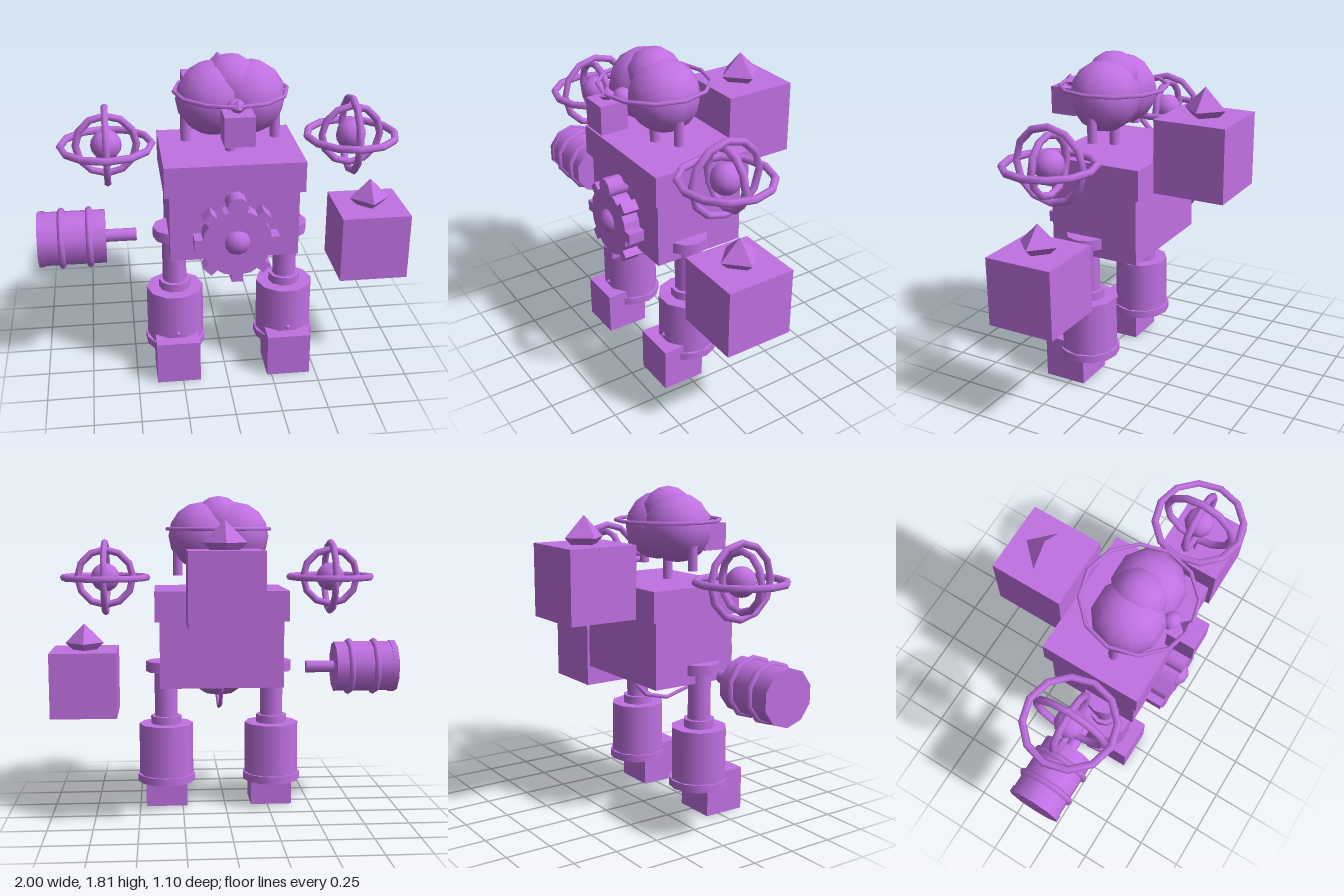
import * as THREE from 'three';

const CX = 0.036, CZ = 0.195; // centre line of the figure
const mat = new THREE.MeshStandardMaterial({ color: 0xc070e2, side: THREE.DoubleSide });
const flat = new THREE.MeshStandardMaterial({ color: 0xc070e2, flatShading: true });

export function createModel() {
  const root = new THREE.Group();

  const add = (name, geo, x, y, z, material = mat, parent = root) => {
    const m = new THREE.Mesh(geo, material);
    m.name = name;
    m.position.set(x, y, z);
    parent.add(m);
    return m;
  };
  const group = (name) => {
    const g = new THREE.Group();
    g.name = name;
    root.add(g);
    return g;
  };
  const box = (w, h, d) => new THREE.BoxGeometry(w, h, d);
  const ball = (r) => new THREE.SphereGeometry(r, 10, 8);
  const gem = (r) => new THREE.OctahedronGeometry(r);
  const ring = (r, t) => new THREE.TorusGeometry(r, t, 6, 12);
  // ten-sided upright cylinder with corners on the x axis
  const cyl = (r, h) => new THREE.CylinderGeometry(r, r, h, 10).rotateY(Math.PI / 2);

  // Torso with wide shoulder slab
  add('torso', box(0.685, 0.372, 0.515), CX, 0.939, 0.135, flat);
  add('shoulderSlab', box(0.738, 0.167, 0.57), CX, 1.208, 0.132, flat);

  // Core sphere and its ring, showing below the torso
  add('coreSphere', ball(0.225), CX, 0.885, CZ);
  add('coreRing', ring(0.293, 0.012).rotateY(Math.PI / 2), CX, 0.885, CZ);

  // Backpack cube with a gem on top
  add('backpack', box(0.395, 0.4, 0.4), CX, 1.32, -0.35, flat);
  add('backpackGem', gem(0.117), CX, 1.557, -0.352, flat);

  // Chest gear
  const gear = group('chestGear');
  gear.position.set(CX, 0.885, 0.45);
  add('gearDisc', new THREE.CylinderGeometry(0.185, 0.185, 0.09, 16).rotateX(Math.PI / 2), 0, 0, 0, flat, gear);
  for (let i = 0; i < 8; i++) {
    const a = (i * Math.PI) / 4;
    const tooth = add('gearTooth', box(0.06, 0.06, 0.09), Math.cos(a) * 0.193, Math.sin(a) * 0.193, 0, flat, gear);
    tooth.rotation.z = a;
  }
  add('gearHub', ball(0.078), 0, 0.005, 0.01, mat, gear);
  add('gearKnob', cyl(0.056, 0.115).rotateX(Math.PI / 2), 0, 0.208, 0.003, mat, gear);

  // Head of three lobes on rods, with a halo ring
  const head = group('head');
  for (const s of [-1, 1]) {
    add('headLobe', ball(0.192), CX + s * 0.095, 1.585, CZ, mat, head);
    add('headRod', cyl(0.027, 0.18), CX + s * 0.236, 1.45, CZ, mat, head);
  }
  add('crownLobe', ball(0.147), CX, 1.664, CZ, mat, head);
  add('neck', cyl(0.028, 0.2), CX, 1.38, CZ, mat, head);
  add('headRing', ring(0.294, 0.011).rotateX(Math.PI / 2), CX, 1.625, CZ, mat, head);
  add('noseBall', ball(0.05), CX, 1.585, 0.385, mat, head);
  add('noseCube', box(0.153, 0.153, 0.153), CX, 1.518, 0.475, flat, head);
  add('noseGem', gem(0.043), CX, 1.617, 0.472, flat, head);

  // Floating shoulder orbs with three crossed rings
  for (const s of [-1, 1]) {
    const orb = group(s > 0 ? 'leftOrb' : 'rightOrb');
    orb.position.set(CX + s * 0.65, 1.35, CZ);
    add('orbCore', ball(0.082), 0, 0, 0, mat, orb);
    add('smallRing', ring(0.158, 0.02), 0, 0, 0, mat, orb);
    add('middleRing', ring(0.198, 0.02).rotateY(Math.PI / 2), 0, 0, 0, mat, orb);
    add('largeRing', ring(0.238, 0.02).rotateX(Math.PI / 2), 0, 0, 0, mat, orb);
  }

  // Left arm: cube with a gem
  add('armCube', box(0.377, 0.372, 0.377), 0.811, 0.749, CZ, flat);
  add('armGem', gem(0.11), 0.811, 0.975, CZ, flat);

  // Right arm: ribbed cannon lying along x
  const cannon = group('armCannon');
  const tube = (name, r, x0, x1) =>
    add(name, cyl(r, x1 - x0).rotateZ(Math.PI / 2), (x0 + x1) / 2, 0.823, 0.187, mat, cannon);
  tube('cannonBody', 0.147, -0.98, -0.64);
  tube('cannonCap', 0.153, -1, -0.966);
  tube('cannonBarrel', 0.035, -0.65, -0.475);
  for (const x of [-0.875, -0.727]) {
    const g = new THREE.TorusGeometry(0.148, 0.02, 6, 10).rotateZ(Math.PI / 2).rotateY(Math.PI / 2);
    add('cannonRib', g, x, 0.823, 0.187, mat, cannon);
  }

  // Legs
  for (const s of [-1, 1]) {
    const leg = group(s > 0 ? 'leftLeg' : 'rightLeg');
    leg.position.set(CX + s * 0.309, 0, CZ);
    add('hipDisc', cyl(0.114, 0.06), 0, 0.835, 0, mat, leg);
    add('thigh', cyl(0.066, 0.34), 0, 0.69, 0, mat, leg);
    add('kneeRing', cyl(0.088, 0.05), 0, 0.518, 0, mat, leg);
    add('shin', cyl(0.157, 0.3), 0, 0.347, 0, mat, leg);
    // ankle guard wraps the sides and back, open at the front
    const guard = new THREE.CylinderGeometry(0.168, 0.168, 0.043, 10, 1, false, Math.PI / 4, Math.PI * 1.5);
    add('ankleGuard', guard, 0, 0.178, 0, mat, leg);
    add('foot', box(0.24, 0.243, 0.24), 0, 0.1215, 0.095, flat, leg);
    add('toeGem', gem(0.022), 0, 0.27, 0.145, flat, leg);
  }
  return root;
}
